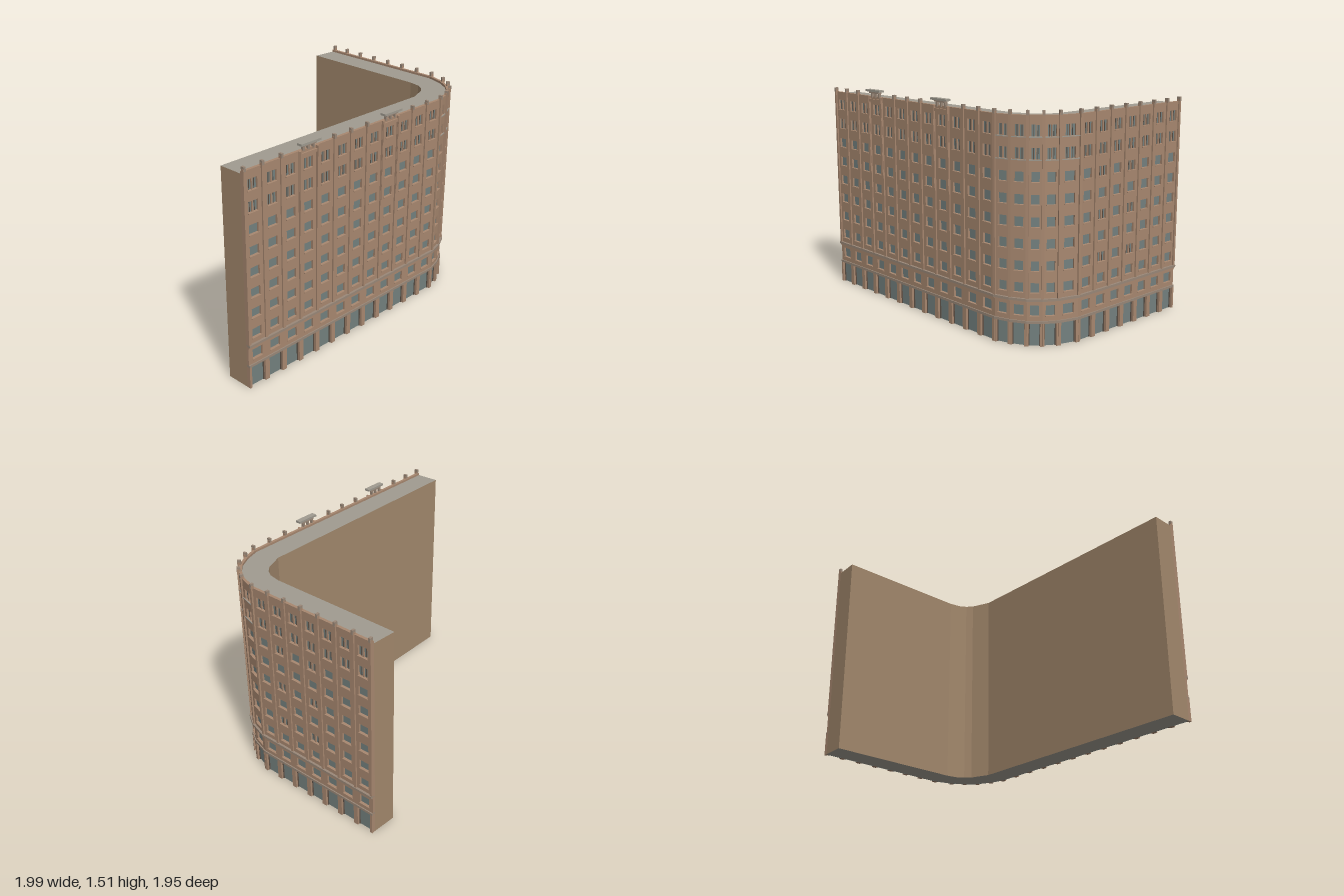
import * as THREE from 'three';

const mat = (name, color) => {
  const m = new THREE.MeshStandardMaterial({ color });
  m.name = name;
  return m;
};

export function createModel() {
  const building = new THREE.Group();
  building.name = 'cornerBuilding';
  const brick = mat('brick', 0xa88870);
  const render = mat('sideRender', 0xa2886c);
  const roof = mat('roofGrey', 0xa09b90);
  const glass = mat('glass', 0x74817f);
  const stone = mat('stoneTrim', 0x9a8878);
  const frame = mat('darkFrame', 0x5e5248);

  // Street line: 12 straight bays, 5 bays round the corner, 7 straight bays
  const V = (x, z) => new THREE.Vector2(x, z);
  const path = [];
  for (let i = 0; i < 12; i++) path.push(V(-0.94, 0.957).lerp(V(0.735, 0.432), i / 12));
  path.push(V(0.735, 0.432), V(0.825, 0.37), V(0.905, 0.29), V(0.95, 0.205), V(0.976, 0.105));
  for (let i = 0; i <= 7; i++) path.push(V(0.974, -0.037).lerp(V(0.675, -0.972), i / 7));
  const bays = path.length - 1;
  const yard = [V(-1, 0.785), V(0.64, 0.262), V(0.75, 0.172), V(0.777, 0.125), V(0.79, 0.07),
    V(0.78, -0.01), V(0.492, -0.925)];

  // Outward normal of the street line at one of its points
  const normalAt = (i) => {
    const n = V(0, 0);
    for (const k of [i - 1, i]) {
      if (k < 0 || k >= bays) continue;
      const d = path[k + 1].clone().sub(path[k]).normalize();
      n.add(V(-d.y, d.x));
    }
    return n.normalize();
  };
  const offset = (dist) => path.map((p, i) => p.clone().addScaledVector(normalAt(i), dist));

  // Upright prism between two plan lines
  const prism = (name, outer, inner, y0, y1, material) => {
    const pts = [...outer, ...inner.slice().reverse()].map((p) => V(p.x, -p.y));
    const g = new THREE.ExtrudeGeometry(new THREE.Shape(pts), { depth: y1 - y0, bevelEnabled: false });
    g.rotateX(-Math.PI / 2).translate(0, y0, 0);
    const m = new THREE.Mesh(g, material);
    m.name = name;
    building.add(m);
  };
  prism('body', offset(-0.02), yard, 0, 1.445, [roof, render]);
  prism('shopBelt', offset(0.008), offset(-0.02), 0.15, 0.167, stone);
  prism('cornice', offset(0.016), offset(-0.015), 0.298, 0.314, stone);
  prism('corniceFoot', offset(0.008), offset(-0.015), 0.288, 0.298, brick);

  const unit = new THREE.BoxGeometry(1, 1, 1);
  const box = (parent, name, material, w, h, d, x, y, z) => {
    const m = new THREE.Mesh(unit, material);
    m.name = name;
    m.scale.set(w, h, d);
    m.position.set(x, y, z);
    parent.add(m);
  };

  // Window openings from the mezzanine to the top floor
  const rows = [{ y: 0.2, h: 0.068, w: 0.078 }];
  for (let r = 0; r < 8; r++) {
    rows.push({ y: 0.35 + r * 0.14, h: r > 5 ? 0.072 : 0.064, w: 0.072, pair: r > 5, floor: r });
  }

  for (let i = 0; i < bays; i++) {
    const a = path[i];
    const d = path[i + 1].clone().sub(a);
    const len = d.length();
    const mid = len / 2;
    const fit = Math.min(1, len / 0.135);
    const corner = i >= 12 && i < 17;
    const bay = new THREE.Group();
    bay.name = 'bay';
    bay.position.set(a.x, 0, a.y);
    bay.rotation.y = -Math.atan2(d.y, d.x);
    building.add(bay);

    // Pierced wall panel, rising into a parapet
    const wall = new THREE.Shape([V(0, 0.15), V(len, 0.15), V(len, 1.46), V(0, 1.46)]);
    for (const row of rows) {
      const w = row.w * fit;
      const pair = row.pair || ((i === 18 || i === 20) && row.floor % 2 === 1);
      const x0 = mid - w / 2, x1 = mid + w / 2, y1 = row.y + row.h;
      wall.holes.push(new THREE.Path([V(x0, row.y), V(x0, y1), V(x1, y1), V(x1, row.y)]));
      box(bay, 'windowPane', glass, w, row.h, 0.004, mid, row.y + row.h / 2, -0.016);
      if (pair) {
        box(bay, 'mullion', brick, w * 0.13, row.h, 0.01, mid, row.y + row.h / 2, -0.01);
        for (const s of [-1, 1]) {
          box(bay, 'sash', frame, 0.004, row.h, 0.004, mid + s * w * 0.26, row.y + row.h / 2, -0.013);
        }
      }
      box(bay, 'sill', row.pair && corner ? roof : brick, row.pair && corner ? len : w + 0.006,
        0.006, 0.006, mid, row.y - 0.003, 0.003);
    }
    const panel = new THREE.ExtrudeGeometry(wall, { depth: 0.02, bevelEnabled: false });
    panel.translate(0, 0, -0.02);
    const panelMesh = new THREE.Mesh(panel, brick);
    panelMesh.name = 'wallPanel';
    bay.add(panelMesh);

    // Shopfront between piers
    const pier = 0.017 * fit;
    box(bay, 'shopGlass', glass, len - 2 * pier, 0.15, 0.004, mid, 0.075, -0.016);
    for (const x of [pier / 2, len - pier / 2]) {
      box(bay, 'shopPier', brick, pier, 0.15, 0.028, x, 0.075, -0.006);
    }
    for (const x of [pier + 0.003, len - pier - 0.003]) {
      box(bay, 'shopFrame', frame, 0.006, 0.144, 0.006, x, 0.072, -0.011);
    }
    box(bay, 'shopTransom', frame, len - 2 * pier, 0.006, 0.006, mid, 0.147, -0.011);

    // Roof canopy on short posts above two of the bays
    if (i === 3 || i === 8) {
      const canopy = new THREE.Group();
      canopy.name = 'roofCanopy';
      bay.add(canopy);
      box(canopy, 'canopySlab', roof, 0.164, 0.014, 0.04, mid, 1.503, 0.008);
      box(canopy, 'canopyBeam', stone, 0.11, 0.012, 0.026, mid, 1.49, 0.004);
      for (const x of [-0.042, 0, 0.042]) {
        box(canopy, 'canopyPost', stone, 0.014, 0.035, 0.018, mid + x, 1.471, -0.003);
      }
      box(canopy, 'headPanel', brick, 0.13, 0.02, 0.012, mid, 1.432, 0.006);
    }
  }

  // Pilasters on the bay lines, the ones beside a canopy starting higher up
  path.forEach((p, i) => {
    const n = normalAt(i);
    const pilaster = new THREE.Group();
    pilaster.name = 'pilaster';
    pilaster.position.set(p.x, 0, p.y);
    pilaster.rotation.y = Math.atan2(n.x, n.y);
    building.add(pilaster);
    const beside = [3, 4, 8, 9].includes(i);
    const shift = i === 0 ? 0.009 : i === bays ? -0.009 : 0;
    const top = beside ? 1.46 : 1.475;
    box(pilaster, 'shaft', brick, 0.018, top - 0.314, 0.02, shift, (top + 0.314) / 2, 0);
    if (beside) box(pilaster, 'upperShaft', brick, 0.012, 0.55, 0.01, shift, 1.185, 0.01);
    else box(pilaster, 'finial', stone, 0.016, 0.03, 0.024, shift, 1.475, 0);
  });
  return building;
}
